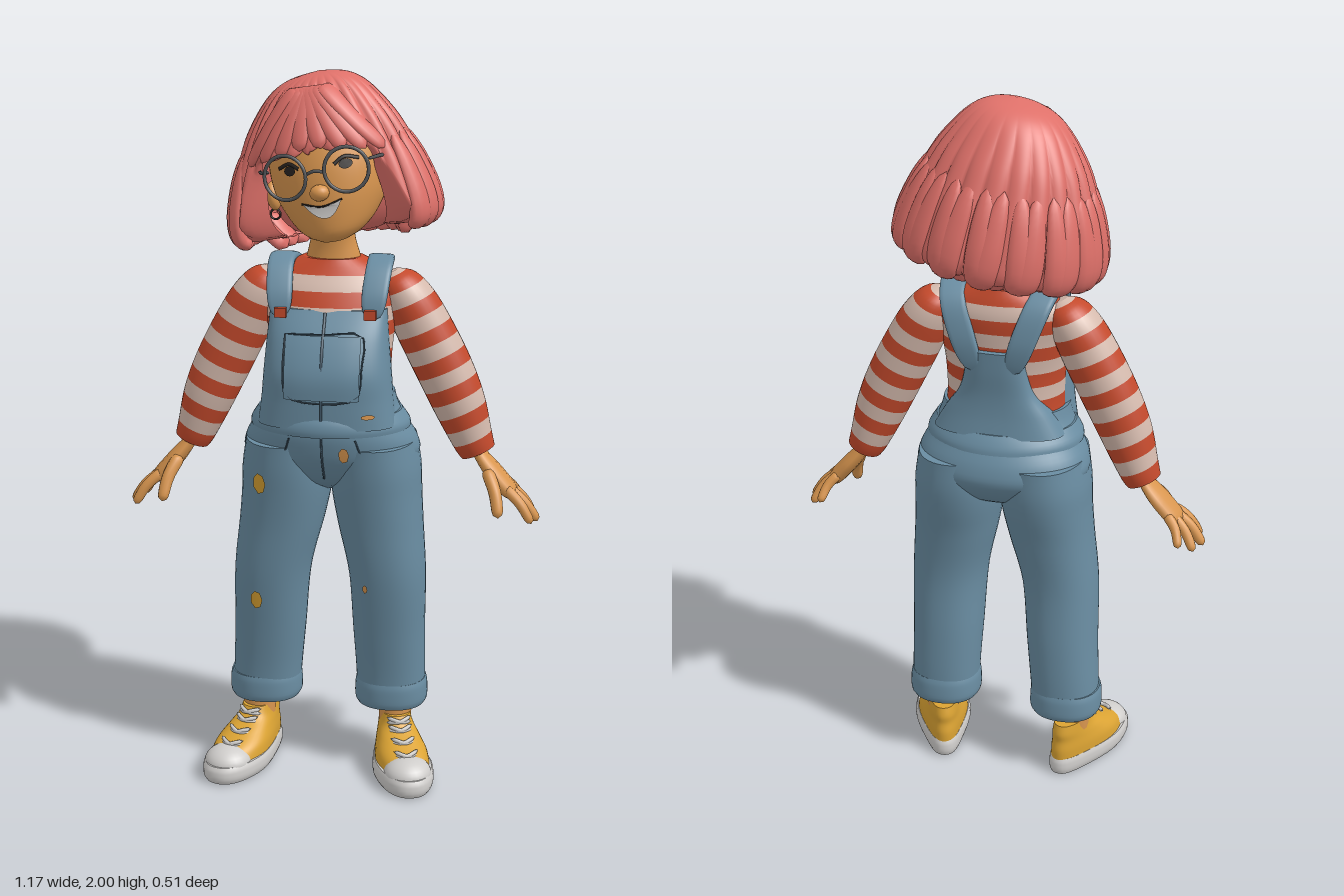
import * as THREE from 'three';

const mat = (name, color, side = THREE.FrontSide) => {
  const m = new THREE.MeshStandardMaterial({ color, side });
  m.name = name;
  return m;
};
const V = (x, y, z) => new THREE.Vector3(x, y, z);
const { sin, cos, abs, sign, PI } = Math;
const smooth = THREE.MathUtils.smoothstep;

// Smooth interpolation of rows of numbers, t from 0 to 1
function spline(keys, t) {
  const n = keys.length - 1, f = Math.min(Math.max(t, 0), 1) * n, i = Math.min(Math.floor(f), n - 1), w = f - i;
  const k = (j) => keys[Math.min(Math.max(j, 0), n)];
  return keys[0].map((_, c) => {
    const [a, b, d, e] = [k(i - 1)[c], k(i)[c], k(i + 1)[c], k(i + 2)[c]];
    return b + 0.5 * w * (d - a + w * (2 * a - 5 * b + 4 * d - e + w * (3 * (b - d) + e - a)));
  });
}
// Cross-section [x, y, z, rx, rz] of a loft at height y
function sectionAt(keys, y) {
  let lo = 0, hi = 1;
  for (let i = 0; i < 24; i++) {
    const m = (lo + hi) / 2;
    if (spline(keys, m)[1] < y) lo = m; else hi = m;
  }
  return spline(keys, lo);
}
const se = (c, p) => sign(c) * abs(c) ** (2 / p);

// Closed tube surface from fn(u, v); band(row) picks a material
function grid(nv, nu, fn, { cap = true, band } = {}) {
  const pos = [], idx = [], g = new THREE.BufferGeometry();
  for (let i = 0; i <= nv; i++) for (let j = 0; j < nu; j++) pos.push(...fn(j / nu, i / nv));
  for (let i = 0; i < nv; i++) {
    for (let j = 0; j < nu; j++) {
      const a = i * nu + j, b = i * nu + (j + 1) % nu;
      idx.push(a, b, b + nu, a, b + nu, a + nu);
    }
    if (band) g.addGroup(i * nu * 6, nu * 6, band(i));
  }
  if (cap) for (const end of [0, 1]) {
    const base = pos.length / 3, c = V(0, 0, 0), ring = [];
    for (let j = 0; j < nu; j++) { const p = fn(j / nu, end); ring.push(...p); c.add(V(...p).divideScalar(nu)); }
    pos.push(c.x, c.y, c.z, ...ring);
    for (let j = 0; j < nu; j++) {
      const a = base + 1 + j, b = base + 1 + (j + 1) % nu;
      idx.push(base, end ? a : b, end ? b : a);
    }
    if (band) g.addGroup(idx.length - nu * 3, nu * 3, band(end ? nv - 1 : 0));
  }
  g.setAttribute('position', new THREE.Float32BufferAttribute(pos, 3));
  g.setIndex(idx);
  g.computeVertexNormals();
  return g;
}
function loft(keys, { steps = 24, nu = 40, p = 2, band } = {}) {
  const y0 = keys[0][1], y1 = keys[keys.length - 1][1], rows = [];
  for (let i = 0; i <= steps; i++) rows.push(sectionAt(keys, y0 + (y1 - y0) * i / steps));
  return grid(steps, nu, (u, v) => {
    const [x, , z, rx, rz] = rows[Math.round(v * steps)], a = u * 2 * PI;
    return [x + rx * se(sin(a), p), y0 + (y1 - y0) * v, z + rz * se(cos(a), p)];
  }, { band });
}
// Flattened strand along points; size(t) scales it, hint is the width direction
const rounded = (t) => Math.sqrt(Math.max(1 - abs(2 * t - 1) ** 8, 0.0004));
function sweep(points, hw, ht, hint, size = rounded, p = 2, nv = 18, nu = 12) {
  const curve = new THREE.CatmullRomCurve3(points);
  return grid(nv, nu, (u, v) => {
    const P = curve.getPoint(v), T = curve.getTangent(v);
    const W = hint.clone().addScaledVector(T, -hint.dot(T)).normalize(), N = W.clone().cross(T);
    const a = u * 2 * PI, s = size(v);
    return P.addScaledVector(W, hw * s * se(sin(a), p)).addScaledVector(N, ht * s * se(cos(a), p)).toArray();
  });
}
// Front surface depth of a loft, and details laid on it
function frontZ(keys, p, x, y) {
  const [cx, , cz, rx, rz] = sectionAt(keys, y);
  return cz + rz * Math.max(1 - (abs(x - cx) / rx) ** p, 0) ** (1 / p);
}
function decal(geo, keys, p, off) {
  const a = geo.attributes.position;
  for (let i = 0; i < a.count; i++) a.setZ(i, frontZ(keys, p, a.getX(i), a.getY(i)) + off);
  geo.computeVertexNormals();
  return geo;
}
const line = (pts, keys, p, r = 0.0025, lift = r) => new THREE.TubeGeometry(
  new THREE.CatmullRomCurve3(pts.map(([x, y]) => V(x, y, frontZ(keys, p, x, y) + lift)), false, 'centripetal'), 24, r, 5);

export function createModel() {
  const root = new THREE.Group();
  const hair = mat('hair pink', 0xde7069, THREE.DoubleSide), skin = mat('skin', 0xd9964f), denim = mat('denim', 0x6a8da2);
  const seam = mat('dark seam', 0x3f5565), cream = mat('shirt cream', 0xd6bbae), red = mat('shirt red', 0xc54a2c);
  const yellow = mat('shoe yellow', 0xdba333), white = mat('rubber white', 0xcfcdcb), dark = mat('dark', 0x2a2523);
  const frame = mat('glasses frame', 0x55575a);
  const add = (name, geo, m, parent = root) => {
    const mesh = new THREE.Mesh(geo, m);
    mesh.name = name;
    parent.add(mesh);
    return mesh;
  };

  // Shirt and neck
  add('shirt', loft([[0, 1.08, .04, .175, .13], [0, 1.16, .045, .168, .13], [0, 1.25, .04, .17, .125], [0, 1.34, .025, .18, .12],
    [0, 1.42, .005, .19, .105], [0, 1.465, -.005, .155, .085], [0, 1.5, -.008, .085, .068]],
  { steps: 42, band: (i) => ((i + 2) % 8 < 4 ? 1 : 0) }), [cream, red]);
  add('neck', loft([[0, 1.44, -.01, .085, .07], [0, 1.5, -.01, .074, .06], [0, 1.56, 0, .06, .054], [.005, 1.64, .02, .058, .055]]), skin);

  // Overalls
  const hips = [[0, .85, .01, .05, .05], [0, .89, .012, .17, .125], [0, .95, .013, .242, .17], [0, 1.0, .024, .241, .178],
    [0, 1.05, .04, .214, .17], [0, 1.1, .05, .19, .15], [0, 1.14, .055, .18, .142]];
  const bib = [[0, 1.06, .105, .19, .102], [0, 1.13, .1, .181, .11], [0, 1.21, .098, .174, .113], [0, 1.3, .09, .166, .088], [0, 1.375, .075, .16, .055]];
  add('trouser hips', loft(hips, { p: 2.1, nu: 56 }), denim);
  add('waistband', loft([[0, 1.04, .039, .223, .176], [0, 1.055, .042, .222, .176], [0, 1.075, .046, .21, .169], [0, 1.09, .048, .2, .16]], { steps: 6, nu: 56 }), denim);
  add('bib', loft(bib, { p: 2.6, nu: 56 }), denim);
  add('backPanel', loft([[0, 1.08, -.02, .186, .09], [0, 1.14, -.03, .15, .072], [0, 1.2, -.045, .108, .056], [0, 1.27, -.055, .088, .053], [0, 1.33, -.06, .085, .052]], { p: 2.6 }), denim);
  const pocket = new THREE.PlaneGeometry(.205, .17, 10, 10).translate(0, 1.23, 0);
  add('bibPocket', decal(pocket, bib, 2.6, .008), denim);
  add('pocketSeam', line([[-.105, 1.315], [-.107, 1.23], [-.1, 1.16], [-.07, 1.142], [.07, 1.142], [.1, 1.16], [.107, 1.23], [.105, 1.315], [0, 1.318], [-.105, 1.315]], bib, 2.6, .0025, .006), seam);
  add('bibCentreSeam', line([[0, 1.37], [0, 1.25], [0, 1.09]], bib, 2.6, .004, .007), seam);
  add('flySeam', line([[0, 1.04], [0, .98], [0, .91]], hips, 2.1, .003), seam);
  add('patch', decal(new THREE.CircleGeometry(.012, 7).scale(1.6, .6, 1).translate(.125, 1.1, 0), bib, 2.6, .008), skin);

  for (const s of [1, -1]) {
    const side = s > 0 ? 'left' : 'right';
    add(side + 'HipPocketSeam', line([[s * .09, 1.035], [s * .11, .985], [s * .16, .965], [s * .21, .975]], hips, 2.1), seam);

    // Shoulder strap with buckle
    add(side + 'Strap', sweep([V(s * .125, 1.35, .13), V(s * .13, 1.42, .108), V(s * .135, 1.482, .058), V(s * .134, 1.498, 0), V(s * .118, 1.46, -.072),
      V(s * .085, 1.37, -.102), V(s * .05, 1.27, -.098)], .036, .012, V(1, 0, 0), rounded, 4, 36, 16), denim);
    add(side + 'Buckle', new THREE.BoxGeometry(.032, .026, .016).translate(s * .122, 1.368, .142), red);

    // Trouser leg with turned-up cuff; the right foot stands slightly wider
    const leg = [[.17, .2, -.015, .098, .092], [.168, .3, -.01, .1, .098], [.164, .42, .002, .103, .106], [.16, .6, .022, .109, .118],
      [.14, .75, .022, .12, .136], [.128, .85, .018, .126, .155], [.124, .92, .018, .127, .166], [.12, 1.0, .022, .118, .17]]
      .map(([x, y, ...r]) => [s * x - (s < 0 ? .03 * Math.max(0, 1 - (y - .2) / .6) : 0), y, ...r]);
    add(side + 'TrouserLeg', loft(leg, { steps: 32, p: 2.2 }), denim);
    const lx = leg[0][0];
    add(side + 'Cuff', loft([[lx, .19, -.015, .098, .094], [lx, .205, -.015, .105, .1], [lx, .25, -.013, .104, .1], [lx, .268, -.012, .099, .096]], { steps: 8, p: 2.2 }), denim);
    const spots = s > 0 ? [[.06, .99, .018], [.11, .58, .01]] : [[-.18, .89, .024], [-.2, .53, .022]];
    for (const [x, y, r] of spots) {
      add('patch', decal(new THREE.CircleGeometry(r, 7).scale(.8, 1.3, 1).translate(x, y, 0), y > .95 ? hips : leg, 2.2, .006), s < 0 ? yellow : skin);
    }

    // Sleeve, striped along its length
    const arm = new THREE.Group();
    arm.name = side + 'Arm';
    arm.position.set(s * .2, 1.42, 0);
    arm.rotation.z = s * .424;
    root.add(arm);
    add(side + 'Sleeve', loft([[0, -.505, -.005, .05, .052], [0, -.47, -.004, .057, .06], [s * .007, -.36, 0, .073, .07], [s * .007, -.24, 0, .079, .074],
      [0, -.1, 0, .077, .077], [s * -.006, -.02, 0, .068, .076], [s * -.012, .03, 0, .05, .06], [s * -.018, .055, 0, .02, .025]],
    { steps: 53, nu: 32, band: (i) => (i % 8 < 4 ? 1 : 0) }), [cream, red], arm);

    // Hand with spread fingers
    const hand = new THREE.Group();
    hand.name = side + 'Hand';
    root.add(hand);
    const Z = V(0, 0, 1);
    add('palm', sweep([V(s * .385, 1.0, -.005), V(s * .42, .945, -.002), V(s * .47, .885, .002), V(s * .515, .835, .002)], .052, .024, Z,
      (t) => rounded(t) * (.68 + .32 * smooth(t, .15, .6))), skin, hand);
    for (const [x, y, z, bx, by, bz, r] of [[.475, .8, .102, .435, .92, .035, .018], [.565, .775, .06, .485, .87, .034, .015], [.58, .768, .012, .49, .865, .012, .016],
      [.562, .776, -.048, .488, .868, -.014, .015], [.525, .8, -.085, .48, .875, -.034, .014]]) {
      add('finger', sweep([V(s * bx, by, bz), V(s * (bx + x + .014) / 2, (by + y + .01) / 2, (bz + z) / 2 + .004), V(s * x, y, z)], r, r, Z, (t) => rounded(t) * (1.08 - .2 * t)), skin, hand);
    }

    // Shoe, toes turned out
    const shoe = new THREE.Group();
    shoe.name = side + 'Shoe';
    shoe.position.set(s > 0 ? .182 : -.222, 0, -.01);
    shoe.rotation.y = s * .32;
    root.add(shoe);
    const heel = (g) => {
      const a = g.attributes.position;
      for (let i = 0; i < a.count; i++) a.setX(i, a.getX(i) * (1 - .3 * smooth(-a.getZ(i), -.14, .06)));
      g.computeVertexNormals();
      return g;
    };
    add('sole', heel(loft([[0, 0, .084, .08, .178], [0, .015, .085, .087, .184], [0, .04, .085, .086, .182], [0, .05, .084, .081, .176]], { steps: 6, p: 2.3 })), white, shoe);
    const upper = [[0, .04, .075, .08, .168], [0, .075, .057, .077, .15], [0, .105, .025, .068, .112], [0, .13, -.003, .06, .085], [0, .158, -.01, .054, .07]];
    add('shoeUpper', heel(loft(upper, { p: 2.2 })), yellow, shoe);
    add('toeCap', new THREE.SphereGeometry(1, 28, 16).scale(.068, .046, .068).translate(0, .044, .188), white, shoe);
    for (let i = 0; i < 4; i++) {
      const y = .148 - i * .019, z = frontZ(upper, 2.2, 0, y) + .005;
      for (const d of [1, -1]) add('lace', sweep([V(-.036, y + d * .008, z - .016), V(0, y, z + .005), V(.036, y - d * .008, z - .016)], .006, .006, V(0, 1, 0), rounded, 2, 8, 6), white, shoe);
    }
    add('ankle', new THREE.CylinderGeometry(.05, .047, .13, 24).translate(0, .19, 0), skin, shoe);
  }

  // Head, gently tilted
  const head = new THREE.Group();
  head.name = 'head';
  head.position.set(0, 1.73, 0);
  head.rotation.set(0, -.06, .17);
  root.add(head);
  const face = [[0, -.168, .1, .035, .045], [0, -.15, .088, .075, .082], [0, -.11, .06, .116, .12], [0, -.04, .028, .154, .156],
    [0, .04, .013, .165, .165], [0, .12, 0, .154, .154], [0, .19, 0, .11, .11], [0, .22, 0, .03, .03]];
  add('face', loft(face, { steps: 36, nu: 48 }), skin, head);
  add('nose', new THREE.SphereGeometry(.024, 20, 14).scale(1.1, .9, 1).translate(0, -.03, .19), skin, head);
  const smile = new THREE.Shape();
  smile.moveTo(-.052, -.056);
  smile.quadraticCurveTo(0, -.076, .052, -.056);
  smile.quadraticCurveTo(.012, -.142, -.052, -.056);
  add('teeth', decal(new THREE.ShapeGeometry(smile, 10), face, 2, .007), white, head);
  add('lipLine', line([[-.055, -.054], [0, -.066], [.055, -.054]], face, 2, .0025, .006), dark, head);
  for (const s of [1, -1]) {
    add('ear', new THREE.SphereGeometry(.04, 18, 14).scale(.5, 1, .75).translate(s * .17, -.04, .02), skin, head);
    add('earring', new THREE.TorusGeometry(.014, .003, 6, 16).translate(s * .174, -.09, .02), dark, head);
    add('lens rim', new THREE.TorusGeometry(.058, .005, 8, 36).rotateY(s * .15).translate(s * .083, .022, .197), frame, head);
    add('glasses arm', sweep([V(s * .14, .04, .19), V(s * .168, .038, .12), V(s * .176, .02, 0)], .005, .005, V(0, 1, 0), rounded, 2, 10, 6), frame, head);
    add('eye', decal(new THREE.CircleGeometry(.017, 16).scale(1, .75, 1).translate(s * .076, .034, 0), face, 2, .006), dark, head);
    add('lashes', line([[s * .047, .037], [s * .074, .052], [s * .108, .042]], face, 2, .005), dark, head);
    add('eyebrow', line([[s * .045, .085], [s * .075, .094], [s * .108, .082]], face, 2, .007), dark, head);
  }
  add('glasses bridge', sweep([V(-.028, .022, .2), V(0, .03, .208), V(.028, .022, .2)], .005, .005, V(0, 1, 0), rounded, 2, 8, 6), frame, head);

  // Hair: a bob of lobed locks that opens around the face
  const profile = [[0, .272], [.29, .258], [.5, .22], [.71, .14], [.84, .06], [.92, 0], [.985, -.075], [1, -.125], [.92, -.168]];
  const hairPoint = (a, s, k = 1) => {
    const [r, y] = spline(profile, s), f = 1 - Math.min(r, 1), q = r * k;
    return V(.015 * f * f - .014 * q + q * .278 * sin(a), y, .02 * f * f + q * (cos(a) > 0 ? .22 : .235) * cos(a));
  };
  const LOCKS = 26;
  add('hair', grid(44, 300, (u, v) => {
    const a = u * 2 * PI, d = Math.min(a, 2 * PI - a), flow = a + .22 * sin(a) * (1 - v) + .12 * v;
    const ph = flow * LOCKS / (2 * PI), lobe = abs(sin(ph * PI)), vary = sin(Math.floor(ph) * 12.9) * .02;
    const side = smooth(d, .7, 1.08), w = smooth(v, .84, 1);
    const hem = .45 + side * (.46 + .07 * smooth(d, 1.1, 2)) + vary + .02 * lobe;
    const k = (1 + .075 * (lobe ** .7 - .5) * smooth(v, .1, .5)) * (1 - w * (.1 + .32 * side));
    return hairPoint(a, Math.min(v / .9, 1) * hem, k).toArray();
  }, { cap: false }), hair, head);
  add('napeHair', loft([[-.01, -.175, -.1, .1, .06], [-.01, -.15, -.1, .155, .1], [-.01, -.08, -.085, .19, .12], [-.01, .02, -.06, .17, .12]], { steps: 10 }), hair, head);
  for (let i = 0; i < 21; i++) {
    const a = 1.14 + i * (2 * PI - 2.28) / 20, end = .98 + .03 * sin(i * 7.1);
    const pts = [.45, .62, .8, .92, end].map((s, j) => hairPoint(a + .03 * j * sin(i * 3.3), s, j === 4 ? .93 : 1));
    add('hairLock', sweep(pts, .036, .02, V(cos(a), 0, -sin(a)), (t) => rounded(t) * (.5 + .6 * sin(t * PI * .8))), hair, head);
  }
  // Shorter curls tucked under the hem at the back
  for (let i = 0; i < 11; i++) {
    const a = 1.75 + i * (2 * PI - 3.5) / 10;
    const pts = [.8, .9, 1].map((s, j) => hairPoint(a, s, .84 - .1 * j).add(V(0, -.012 * j, 0)));
    add('napeCurl', sweep(pts, .034, .02, V(cos(a), 0, -sin(a)), rounded, 2, 10, 10), hair, head);
  }
  for (let i = 0; i < 8; i++) {
    const a = -.9 + i * .26, from = -.3 + i * .08;
    const pts = [0, 1, 2, 3].map((j) => hairPoint(from + (a - from) * j / 3, .2 + j * (.085 + .02 * abs(a)), 1.01));
    add('fringeLock', sweep(pts, .032, .016, V(cos(a), 0, -sin(a)), (t) => rounded(t) * (1.1 - .4 * t)), hair, head);
  }
  return root;
}
